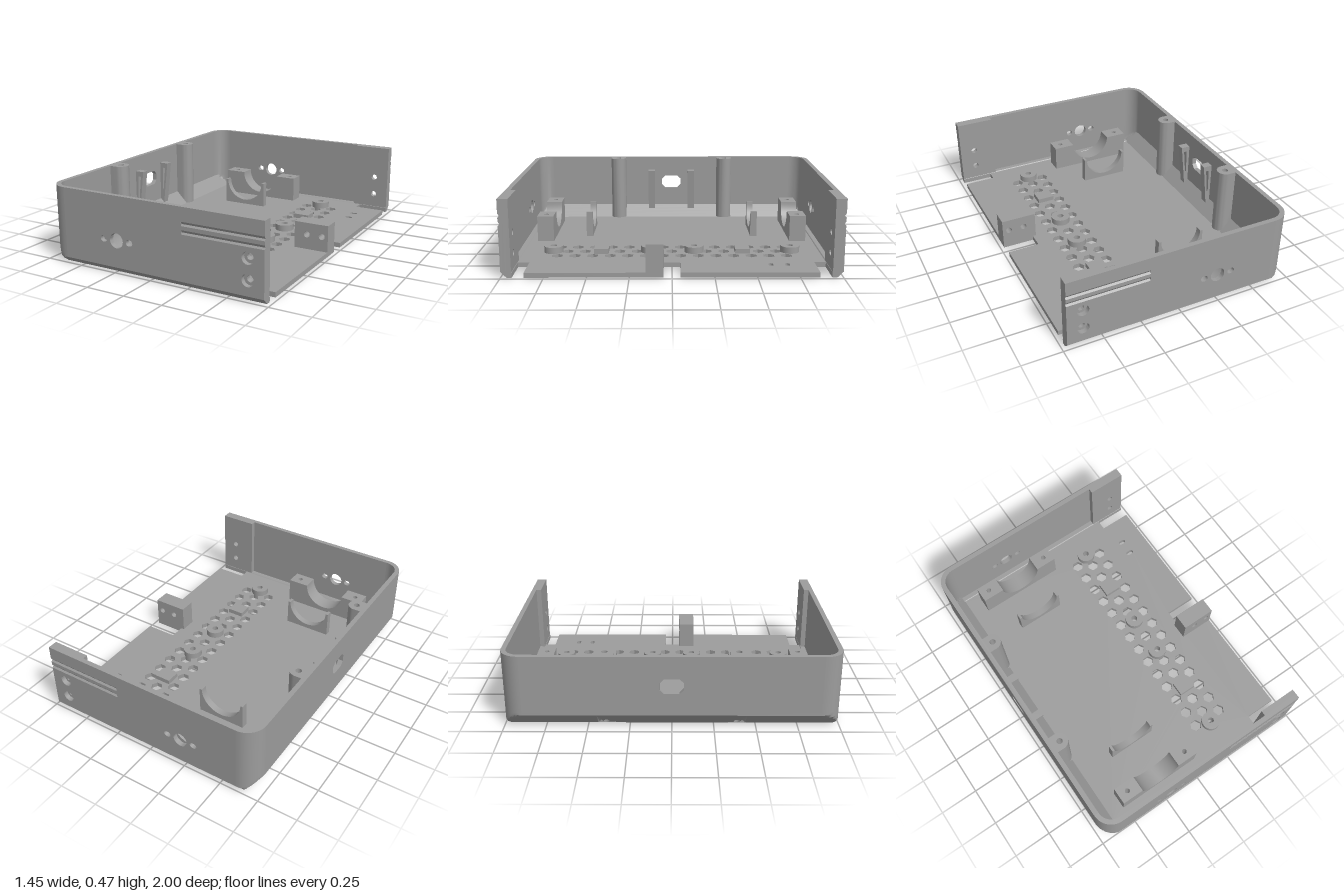
import * as THREE from 'three';
import { toCreasedNormals } from 'three/addons/utils/BufferGeometryUtils.js';

const X0 = -0.726, X1 = 0.726, H = 0.47, ARC_X = -0.606, ARC_Z = 0.88;

// ---- shape helpers ----
const poly = (pts) => new THREE.Shape(pts.map(([a, b]) => new THREE.Vector2(a, b)));
const rect = (a0, b0, a1, b1) => poly([[a0, b0], [a1, b0], [a1, b1], [a0, b1]]);
const circle = (a, b, r, n = 28, start = 0) => poly(Array.from({ length: n }, (_, i) => {
  const t = start + (i / n) * Math.PI * 2;
  return [a + r * Math.cos(t), b + r * Math.sin(t)];
}));
const slot = (a, b, w, h) => {           // rounded slot
  const pts = [];
  for (let i = 0; i <= 8; i++) pts.push([Math.sin((i / 8) * Math.PI) * h / 2 + (w - h) / 2, -Math.cos((i / 8) * Math.PI) * h / 2]);
  return poly([...pts, ...pts.map(([x, y]) => [-x, -y])].map(([x, y]) => [a + x, b + y]));
};
const cut = (shape, holes) => { shape.holes.push(...holes); return shape; };

// ---- extrusion helpers ----
const extrude = (shape, depth) => new THREE.ExtrudeGeometry(shape, { depth, bevelEnabled: false });
const alongZ = (shape, z0, z1) => extrude(shape, z1 - z0).translate(0, 0, z0);                        // shape is (x, y)
const alongY = (shape, y0, y1) => extrude(shape, y1 - y0).rotateX(-Math.PI / 2).translate(0, y0, 0);  // shape is (x, -z)
const alongX = (shape, x0, x1) => extrude(shape, x1 - x0).rotateY(Math.PI / 2).translate(x0, 0, 0);   // shape is (-z, y)

function mirrorZ(geo) {
  const g = geo.index ? geo.toNonIndexed() : geo.clone();
  g.scale(1, 1, -1);
  const p = g.attributes.position, a = new THREE.Vector3(), b = new THREE.Vector3();
  for (let i = 0; i < p.count; i += 3) {
    a.fromBufferAttribute(p, i + 1);
    b.fromBufferAttribute(p, i + 2);
    p.setXYZ(i + 1, b.x, b.y, b.z);
    p.setXYZ(i + 2, a.x, a.y, a.z);
  }
  return g;
}

// Back wall base and rounded corners, trimmed by the sloping bottom edges
function cornerShell() {
  const N = 12, outline = [];
  for (let i = 0; i <= N; i++) {
    const t = (i / N) * Math.PI / 2;
    outline.push([ARC_Z, -Math.sin(t), Math.cos(t)]);
  }
  for (const z of [0.443, 0.337]) outline.push([z, -1, 0]);
  outline.push(...outline.slice().reverse().map(([c, dx, dz]) => [-c, dx, -dz]));

  const outerY = [0, 0.0175, 0.035, 0.055, 0.075, 0.095, 0.11, H];
  const innerY = [H, 0.11, 0.09, 0.07, 0.05, 0.03];
  const rows = [...outerY.map((y) => [y, 0.12, 0.095]), ...innerY.map((y) => [y, 0.09, 0.11])];
  const pos = [], idx = [], n = rows.length;
  for (const [c, dx, dz] of outline) {
    for (const [y, r, slope] of rows) {
      const xMin = ARC_X - r + Math.max(0, slope - y), zMax = 1 - Math.max(0, 0.035 - y);
      pos.push(Math.max(ARC_X + r * dx, xMin), y, THREE.MathUtils.clamp(c + r * dz, -zMax, zMax));
    }
  }
  for (let u = 0; u < outline.length - 1; u++) {
    const straight = u >= N && u < outline.length - 1 - N;
    if (u === N + 1 || u === outline.length - 3 - N) continue;       // filled by the screw posts
    for (let v = 0; v < n - 1; v++) {
      if (straight && v >= 6 && v <= 8) continue;                    // filled by the back panel
      const a = u * n + v, b = a + 1, c = a + n, d = c + 1;
      idx.push(a, b, c, b, d, c);
    }
  }
  const g = new THREE.BufferGeometry();
  g.setAttribute('position', new THREE.Float32BufferAttribute(pos, 3));
  g.setIndex(idx);
  return g;
}

export function createModel() {
  const model = new THREE.Group();
  model.name = 'enclosureBase';
  const grey = new THREE.MeshStandardMaterial({ color: 0x9c9c9c });
  grey.name = 'grey';
  const add = (name, geo) => {
    const mesh = new THREE.Mesh(toCreasedNormals(geo, 0.5), grey);
    mesh.name = name;
    model.add(mesh);
  };
  const addPair = (name, geo) => { add(name + 'Front', geo); add(name + 'Back', mirrorZ(geo)); };

  // Floor with vent holes, cable slots and edge notches
  const standoffZ = [-0.75, -0.14, 0.135, 0.75], padZ = [-0.445, 0.445];
  const holes = standoffZ.map((z) => circle(0.29, -z, 0.02));
  for (let i = 0; i < 14; i++) {
    for (const x of [0.195, 0.385]) holes.push(circle(x, -0.715 + i * 0.11, 0.038, 6));
    const z = -0.66 + i * 0.11;
    const covered = [...standoffZ, ...padZ].some((s) => Math.abs(s - z) < 0.05);
    if (i < 13 && !covered) holes.push(circle(0.29, -z, 0.038, 6));
  }
  for (const z of [-0.695, -0.595]) holes.push(slot(0.57, -z, 0.05, 0.028));
  const floor = poly([[-0.631, -0.935], [0.525, -0.935], [0.525, -0.865], [X1, -0.865], [X1, -0.05], [0.525, -0.05],
    [0.525, 0.05], [X1, 0.05], [X1, 0.865], [0.525, 0.865], [0.525, 0.935], [-0.631, 0.935]]);
  add('floor', alongY(cut(floor, holes), 0, 0.03));
  addPair('bottomRail', alongX(poly([[-0.935, 0], [-0.965, 0], [-1, 0.035], [-0.94, 0.035], [-0.935, 0.03]]), -0.631, X1));

  // Back wall with its port
  add('backCorners', cornerShell());
  const port = poly([[-0.07, 0.26], [-0.045, 0.235], [0.045, 0.235], [0.07, 0.26],
    [0.07, 0.305], [0.045, 0.33], [-0.045, 0.33], [-0.07, 0.305]]);
  add('backPanel', alongX(cut(rect(-ARC_Z, 0.11, ARC_Z, H), [port]), X0, X0 + 0.03));

  // Side walls: inner sheet, grooved outer skin, thick end plate with screw holes
  const wallHoles = () => [circle(-0.23, 0.2, 0.046), slot(-0.32, 0.2, 0.046, 0.038), slot(-0.14, 0.2, 0.046, 0.038),
    circle(0.627, 0.25, 0.037), circle(0.627, 0.125, 0.037)];
  addPair('sideWall', alongZ(cut(rect(ARC_X, 0.035, X1, H), wallHoles()), 0.97, 0.99));
  const skin = [[ARC_X, 0.035], [X1, 0.035]];
  for (const y of [0.312, 0.36]) {
    skin.push([X1, y], [0.215, y], [0.215, y + 0.025], [X1, y + 0.025]);
    addPair('grooveUpper', alongX(poly([[-1, y + 0.025], [-0.99, y + 0.025], [-0.99, y + 0.01]]), 0.215, X1));
    addPair('grooveLower', alongX(poly([[-0.99, y + 0.01], [-1, y], [-0.99, y]]), 0.215, X1));
  }
  skin.push([X1, H], [ARC_X, H]);
  addPair('sideSkin', alongZ(cut(poly(skin), wallHoles()), 0.99, 1));
  addPair('endPlate', alongZ(cut(rect(0.48, 0.03, X1, H),
    [circle(0.627, 0.25, 0.02), circle(0.627, 0.125, 0.02)]), 0.937, 0.97));

  // Screw posts on the back wall, their feet cut to the sloping edge
  const px = -0.65, pr = 0.053, post = [[X0, -0.39 - pr]];
  for (let i = 0; i <= 16; i++) {
    const t = -Math.PI / 2 + (i / 16) * Math.PI;
    post.push([px + pr * Math.cos(t), -0.39 + pr * Math.sin(t)]);
  }
  post.push([X0, -0.39 + pr]);
  const postGeo = alongY(cut(poly(post), [circle(px, -0.39, 0.019, 20)]), 0, H);
  const pp = postGeo.attributes.position;
  for (let i = 0; i < pp.count; i++) if (pp.getY(i) < 0.001) pp.setY(i, Math.max(0, -0.631 - pp.getX(i)));
  addPair('screwPost', postGeo);

  // Tapered ribs either side of the port
  const rib = cut(poly([[-0.70, 0.375], [-0.635, 0.375], [-0.67, 0.08], [-0.70, 0.11]]),
    [poly([[-0.675, 0.34], [-0.655, 0.34], [-0.672, 0.18], [-0.68, 0.18]])]);
  addPair('portRib', alongZ(rib, 0.122, 0.17));

  // Cradles: block with round seat and drilled ends, plus a thin inner support
  const cradle = (half) => {
    const pts = [[-0.23 - half, 0.028], [-0.23 + half, 0.028], [-0.23 + half, 0.2]];
    for (let i = 0; i <= 24; i++) {
      const t = (i / 24) * Math.PI;
      pts.push([-0.23 + 0.14 * Math.cos(t), 0.2 - 0.14 * Math.sin(t)]);
    }
    pts.push([-0.23 - half, 0.2]);
    return poly(pts);
  };
  addPair('cradleSeat', alongZ(cradle(0.142), 0.783, 0.89));
  for (const [a, b, hx] of [[-0.515, -0.372, -0.452], [-0.088, 0.052, -0.007]])
    addPair('cradleEnd', alongY(cut(rect(a, -0.89, b, -0.783), [circle(hx, -0.836, 0.016, 16)]), 0.028, 0.2));
  addPair('cradleSupport', alongZ(cradle(0.157), 0.535, 0.578));

  // Board standoffs and support pads
  for (const z of standoffZ) add('standoff', alongY(cut(circle(0.29, -z, 0.06, 32), [circle(0.29, -z, 0.02)]), 0, 0.07));
  for (const z of padZ) add('supportPad', alongY(rect(0.235, -z - 0.046, 0.345, -z + 0.046), 0, 0.06));

  // Drilled mounting block on the open edge
  add('mountBlock', alongZ(cut(rect(0.503, 0, X1, 0.2),
    [circle(0.585, 0.125, 0.02), circle(0.685, 0.125, 0.02)]), 0.05, 0.155));

  return model;
}
